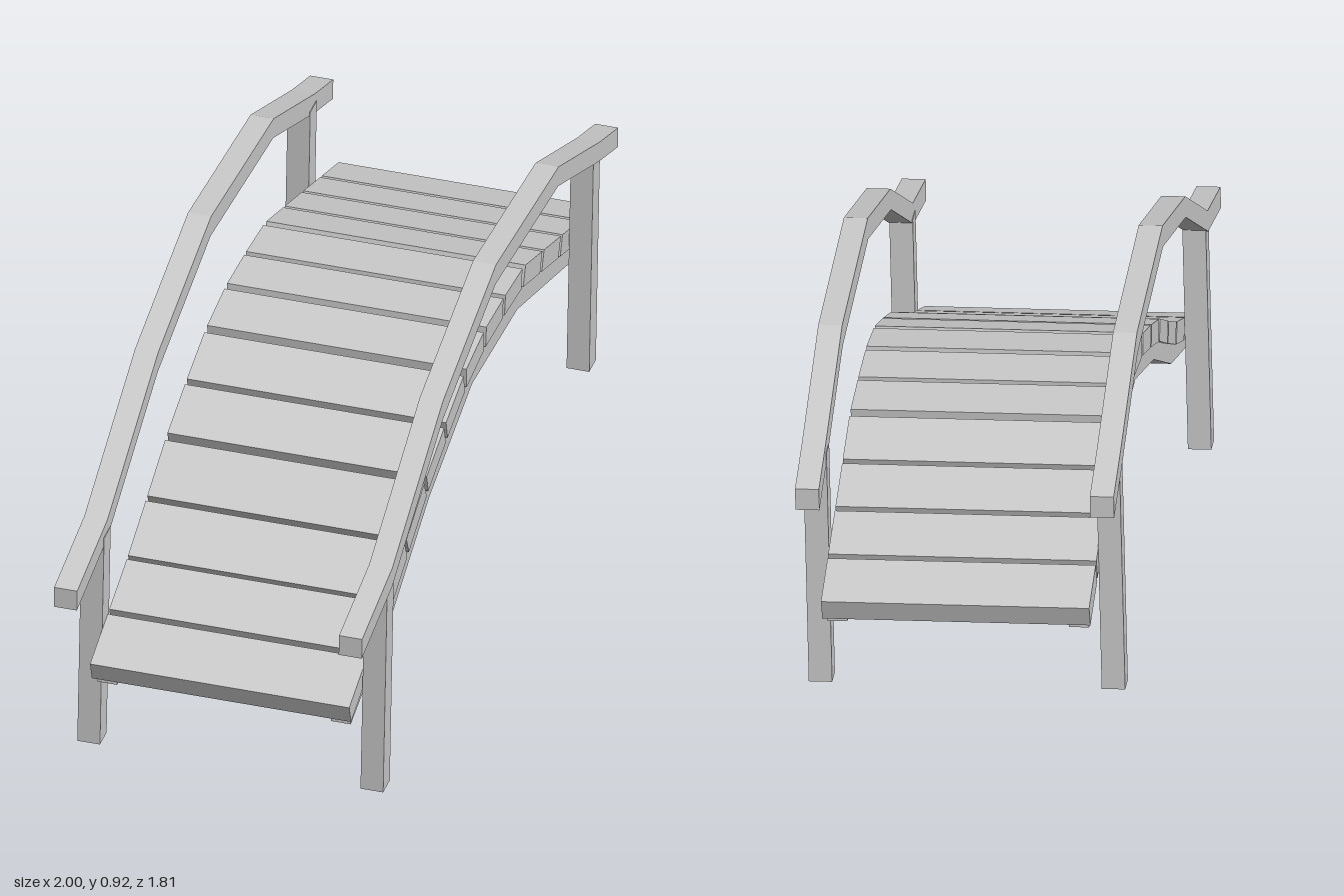
import * as THREE from 'three';

const MID = -0.018; // lateral centre line of the bridge

export function createModel() {
  const model = new THREE.Group();
  model.name = 'footbridge';
  const wood = new THREE.MeshStandardMaterial({ color: 0xcccccc, flatShading: true });

  const add = (name, geometry, x, y, z) => {
    const mesh = new THREE.Mesh(geometry, wood);
    mesh.name = name;
    mesh.position.set(x, y, z);
    model.add(mesh);
    return mesh;
  };

  // Bent beam: a side profile of constant height, extruded across its width
  const beam = (line, height, width) => {
    const outline = [
      ...line.map(([x, y]) => new THREE.Vector2(x, y)),
      ...[...line].reverse().map(([x, y]) => new THREE.Vector2(x, y + height)),
    ];
    return new THREE.ExtrudeGeometry(new THREE.Shape(outline), { depth: width, bevelEnabled: false })
      .translate(0, 0, -width / 2);
  };

  // Height of a polyline at x, continuing the end segments
  const heightAt = (line, x) => {
    let i = 0;
    while (i < line.length - 2 && x > line[i + 1][0]) i++;
    const [[x0, y0], [x1, y1]] = [line[i], line[i + 1]];
    return y0 + ((y1 - y0) * (x - x0)) / (x1 - x0);
  };

  // Undersides of the handrail, the stringers and the deck
  const railLine = [[-0.985, 0.507], [-0.75, 0.553], [-0.365, 0.757], [0.045, 0.867],
    [0.54, 0.827], [0.875, 0.693], [1.02, 0.643]];
  const stringerLine = [[-0.84, 0.238], [-0.54, 0.325], [-0.235, 0.47], [0.095, 0.567],
    [0.45, 0.548], [0.8, 0.44], [1.01, 0.373]];
  const deckLine = [[-0.84, 0.26], [-0.54, 0.37], [-0.235, 0.515], [0.095, 0.615],
    [0.45, 0.6], [0.8, 0.485], [1.01, 0.415]];

  for (const side of [-1, 1]) {
    const label = side > 0 ? 'front' : 'back';
    add(label + 'Handrail', beam(railLine, 0.05, 0.053), 0, 0, MID + side * 0.327);
    add(label + 'Stringer', beam(stringerLine, 0.05, 0.045), 0, 0, MID + side * 0.268);

    // Posts reach up into the handrail
    for (const [x, bottom, end] of [[-0.754, 0.037, 'Right'], [0.858, 0.17, 'Left']]) {
      const top = heightAt(railLine, x) + 0.02;
      add(label + end + 'Post', new THREE.BoxGeometry(0.052, top - bottom, 0.052),
        x, (top + bottom) / 2, MID + side * 0.325);
    }
  }

  // Deck planks follow the arch, each tilted to the local slope
  const count = 13, start = -0.862, pitch = 1.926 / count, thick = 0.05;
  for (let i = 0; i < count; i++) {
    const x0 = start + i * pitch, x1 = x0 + pitch;
    const y0 = heightAt(deckLine, x0), y1 = heightAt(deckLine, x1);
    const tilt = Math.atan2(y1 - y0, x1 - x0);
    const length = Math.hypot(x1 - x0, y1 - y0) - 0.014;
    const plank = add('plank' + (i + 1), new THREE.BoxGeometry(length, thick, 0.595),
      (x0 + x1) / 2 - Math.sin(tilt) * thick / 2,
      (y0 + y1) / 2 + Math.cos(tilt) * thick / 2, MID - 0.002);
    plank.rotation.z = tilt;
  }

  // The bridge stands diagonally and leans slightly
  model.rotation.set(0.027, THREE.MathUtils.degToRad(39.3), 0.032, 'YXZ');
  const root = new THREE.Group();
  root.name = 'bridge';
  root.add(model);
  return root;
}
